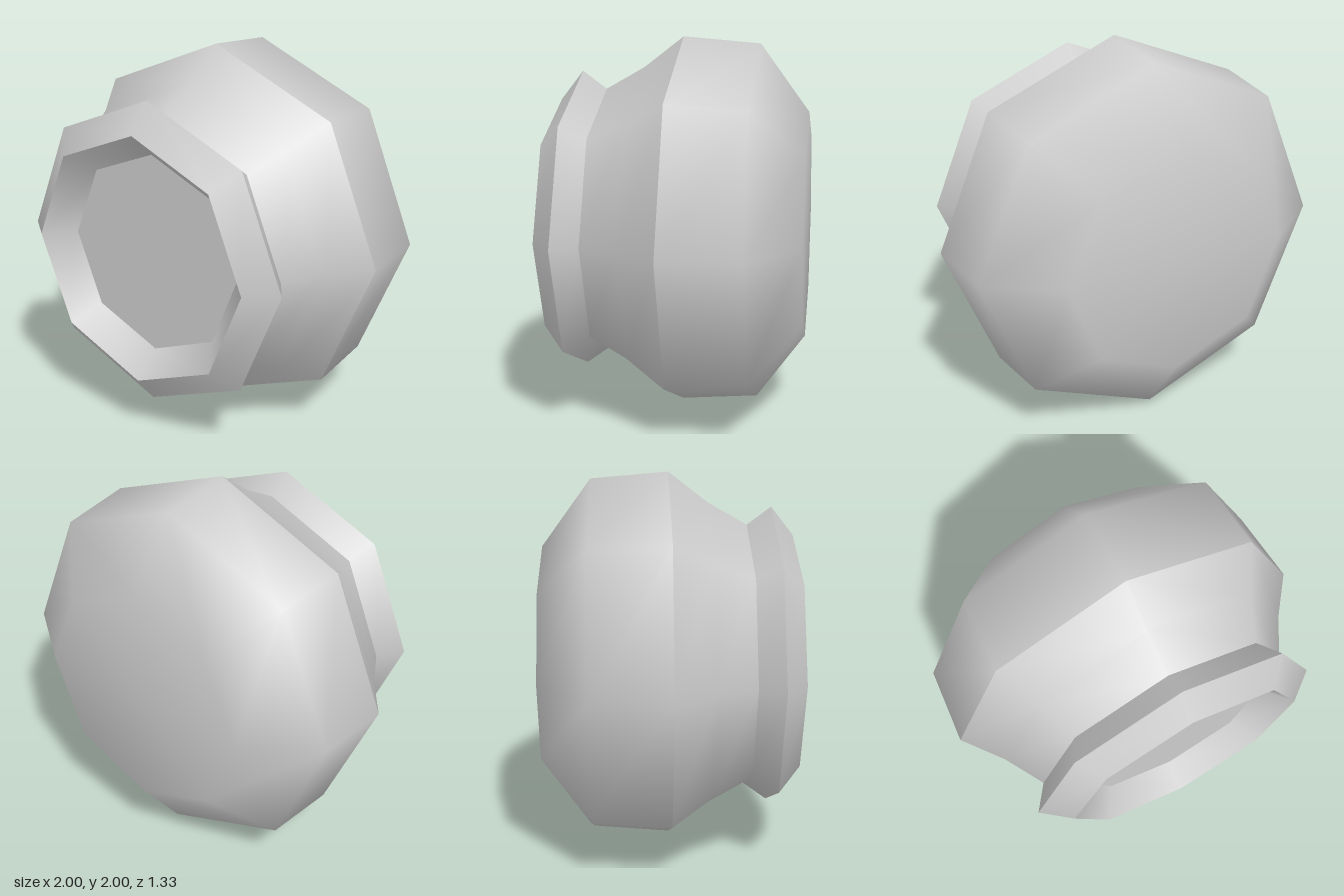
import * as THREE from 'three';

const SIDES = 8;

export function createModel() {
  const group = new THREE.Group();
  group.name = 'octagonalKnob';
  const material = new THREE.MeshStandardMaterial({ color: 0xcccccc });

  // Ring of smooth faces turned about the z axis; points are [radius, z]
  function turned(name, points) {
    const profile = points.map(([r, z]) => new THREE.Vector2(r, z));
    const geometry = new THREE.LatheGeometry(profile, SIDES);
    geometry.rotateX(Math.PI / 2);
    const mesh = new THREE.Mesh(geometry, material);
    mesh.name = name;
    mesh.position.y = 1;
    group.add(mesh);
  }

  // Separate bands keep the edges between them sharp
  turned('roundedBack', [[0, -0.667], [0.61, -0.667], [0.965, -0.408], [1, 0]]);
  turned('taperedNeck', [[1, 0], [0.838, 0.21], [0.72, 0.417]]);
  turned('collarFlare', [[0.72, 0.417], [0.815, 0.545]]);
  turned('collarBevel', [[0.815, 0.545], [0.665, 0.663]]);
  turned('recessWall', [[0.665, 0.663], [0.535, 0.52]]);
  turned('recessFloor', [[0.535, 0.52], [0, 0.52]]);

  return group;
}
